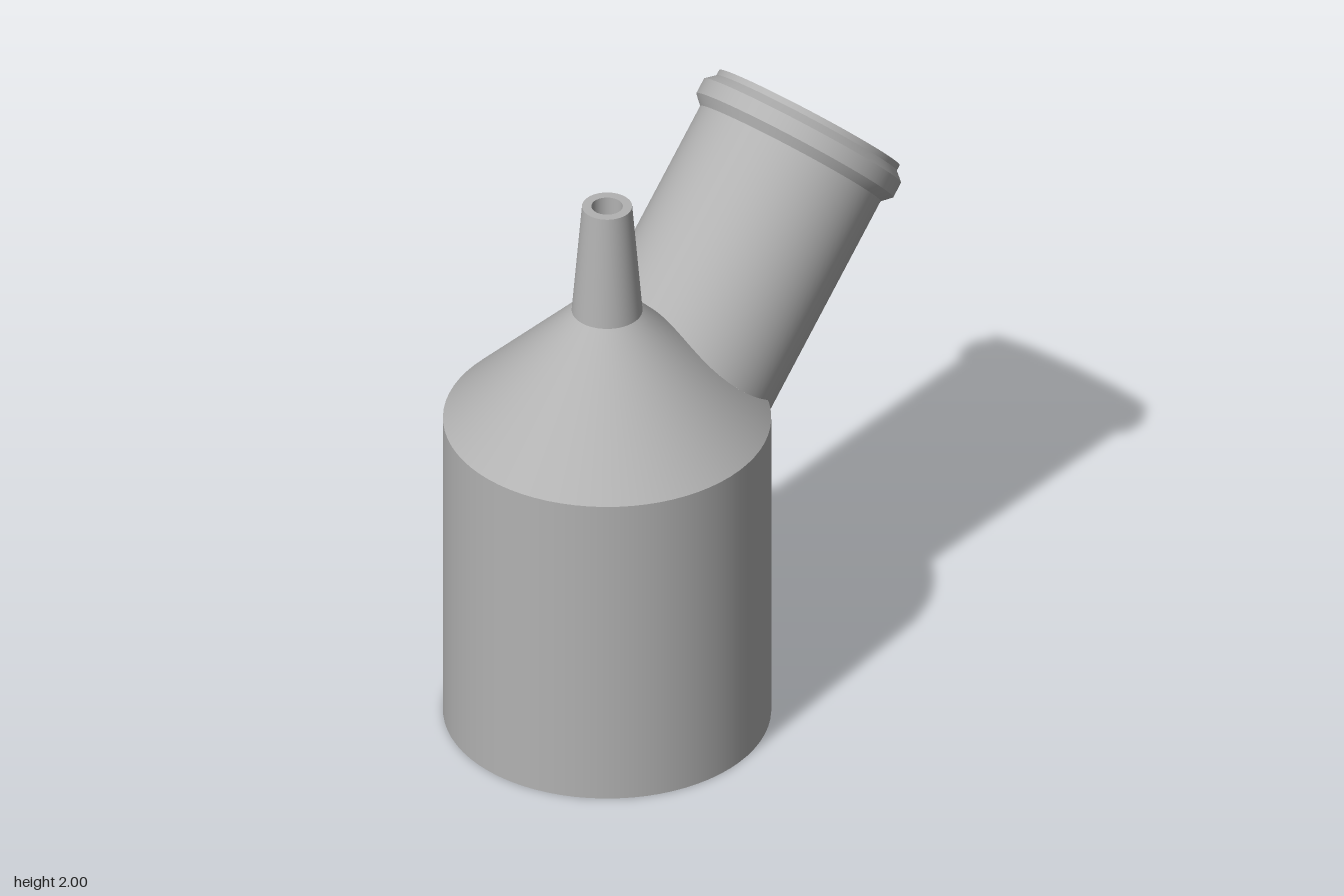
import * as THREE from 'three';
import { mergeGeometries, toCreasedNormals } from 'three/addons/utils/BufferGeometryUtils.js';
import { ParametricGeometry } from 'three/addons/geometries/ParametricGeometry.js';

const SIDES = 72, STEP = 0.04;
const BODY_R = 0.523, BODY_WALL = 0.46;   // body outer and inner radius
const PIPE_R = 0.325, PIPE_BORE = 0.265;  // branch outer and inner radius
const PIPE_Y = 0.795, PIPE_LEN = 1.38;    // branch axis start height and length

// Revolve a profile with sharp corners: one finely divided band per profile segment
function revolve(profile) {
  const bands = [];
  for (let i = 0; i + 1 < profile.length; i++) {
    const a = new THREE.Vector2(...profile[i]), b = new THREE.Vector2(...profile[i + 1]);
    const n = Math.max(1, Math.ceil(a.distanceTo(b) / STEP));
    const pts = [];
    for (let k = 0; k <= n; k++) pts.push(a.clone().lerp(b, k / n));
    bands.push(new THREE.LatheGeometry(pts, SIDES));
  }
  return mergeGeometries(bands);
}

// Keep only the part of a geometry where field(point) >= 0
function trim(geometry, field) {
  const g = geometry.toNonIndexed();
  const P = g.attributes.position, N = g.attributes.normal;
  const pos = [], nor = [];
  for (let i = 0; i < P.count; i += 3) {
    const tri = [0, 1, 2].map((k) => {
      const p = new THREE.Vector3().fromBufferAttribute(P, i + k);
      return { p, n: new THREE.Vector3().fromBufferAttribute(N, i + k), f: field(p) };
    });
    const poly = [];
    tri.forEach((a, k) => {
      const b = tri[(k + 1) % 3];
      if (a.f >= 0) poly.push(a);
      if ((a.f >= 0) !== (b.f >= 0)) {
        const t = a.f / (a.f - b.f);
        poly.push({ p: a.p.clone().lerp(b.p, t), n: a.n.clone().lerp(b.n, t).normalize() });
      }
    });
    for (let k = 1; k + 1 < poly.length; k++) {
      for (const v of [poly[0], poly[k], poly[k + 1]]) {
        pos.push(v.p.x, v.p.y, v.p.z);
        nor.push(v.n.x, v.n.y, v.n.z);
      }
    }
  }
  const out = new THREE.BufferGeometry();
  out.setAttribute('position', new THREE.Float32BufferAttribute(pos, 3));
  out.setAttribute('normal', new THREE.Float32BufferAttribute(nor, 3));
  return out;
}

// Signed fields: positive outside the slanted branch / outside the shouldered body
const outsideBranch = (r) => (p) => {
  const along = (p.x + p.y - PIPE_Y) * Math.SQRT1_2;
  const across = (p.y - PIPE_Y - p.x) * Math.SQRT1_2;
  return Math.max(Math.hypot(across, p.z) - r, -along);
};
const outsideBody = (r, apex) => (p) => {
  const rho = Math.hypot(p.x, p.z);
  return Math.max(rho - r, (rho + p.y - apex) * Math.SQRT1_2);
};

// Tilt a revolved branch part to 45 degrees toward +x
const tilt = (g) => g.rotateZ(-Math.PI / 4).translate(0, PIPE_Y, 0);

// Helical ridge inside the mouth of the body
function threadGeometry() {
  const section = [[0.464, 0.04], [0.425, 0.014], [0.425, -0.014], [0.464, -0.04]];
  const turns = 3.5, pitch = 0.1;
  const g = new ParametricGeometry((u, v, target) => {
    const [r, dy] = section[Math.round(v * 3)] ;
    const fade = Math.min(1, u * 20, (1 - u) * 20);
    const radius = 0.464 + (r - 0.464) * fade;
    const a = u * turns * Math.PI * 2;
    target.set(radius * Math.sin(a), 0.07 + u * turns * pitch + dy, radius * Math.cos(a));
  }, 250, 3);
  return toCreasedNormals(g, 0.5);
}

export function createModel() {
  const group = new THREE.Group();
  const grey = new THREE.MeshStandardMaterial({ color: 0xb2b2b2 });
  grey.name = 'grey plastic';
  const add = (name, geometry) => {
    const mesh = new THREE.Mesh(geometry, grey);
    mesh.name = name;
    group.add(mesh);
  };

  // Body: straight wall and conical shoulder, opened where the branch joins
  add('bodyOuterWall', trim(
    revolve([[BODY_R, 0], [BODY_R, 1.107], [0.113, 1.517]]), outsideBranch(PIPE_R)));
  add('bodyInnerWall', trim(
    revolve([[0.05, 1.498], [BODY_WALL, 1.088], [BODY_WALL, 0.03]]), outsideBranch(PIPE_BORE)));
  add('bodyRim', revolve([[BODY_WALL, 0.03], [0.485, 0], [BODY_R, 0]]));
  add('innerThread', threadGeometry());

  // Nozzle: tapered spout with a through bore
  add('nozzle', revolve([[0.113, 1.517], [0.08, 1.91], [0.05, 1.91], [0.05, 1.498]]));

  // Branch: slanted pipe trimmed to the body, with a bevelled collar at its mouth
  const L = PIPE_LEN;
  add('branchPipe', trim(
    tilt(revolve([[PIPE_R, 0], [PIPE_R, L - 0.13]])), outsideBody(BODY_R, 1.63)));
  add('branchBore', trim(
    tilt(revolve([[PIPE_BORE, L], [PIPE_BORE, 0]])), outsideBody(BODY_WALL, 1.548)));
  add('branchCollar', tilt(revolve([
    [PIPE_R, L - 0.13], [0.355, L - 0.1], [0.355, L - 0.047],
    [PIPE_R, L - 0.02], [PIPE_R, L], [PIPE_BORE, L],
  ])));

  group.position.x = -0.345;
  return group;
}
